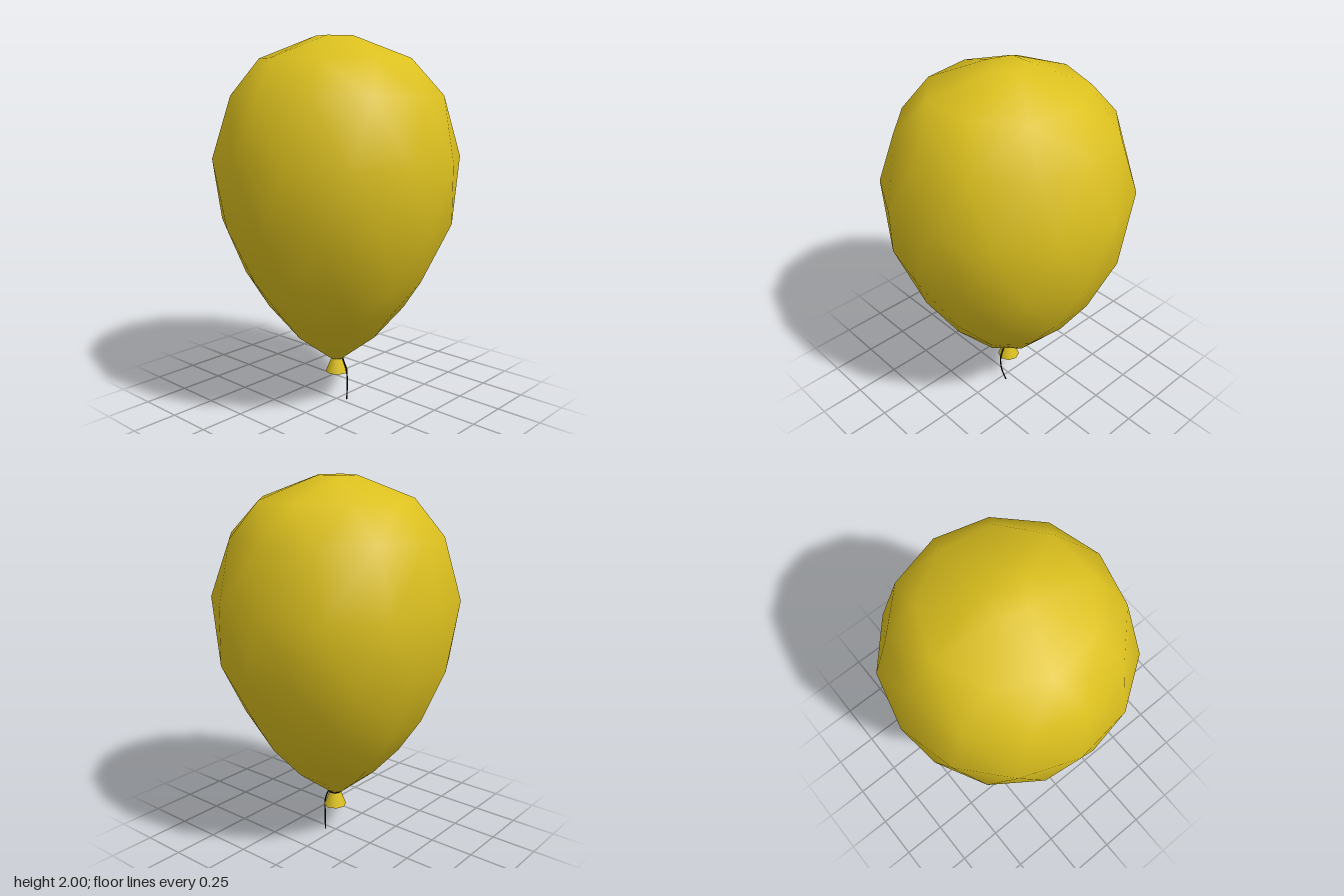
import * as THREE from 'three';
import { mergeVertices } from 'three/addons/utils/BufferGeometryUtils.js';
import { ConvexGeometry } from 'three/addons/geometries/ConvexGeometry.js';

const rubber = new THREE.MeshStandardMaterial({ color: 0xdcc01e });
const dark = new THREE.MeshStandardMaterial({ color: 0x0a0a0a });

// Low-poly pear-shaped skin: staggered rings of points, wrapped and smooth shaded
function bodyGeometry() {
  // [height, radius, number of points]
  const rings = [
    [0.25, 0.04, 6], [0.39, 0.22, 8], [0.56, 0.37, 11], [0.75, 0.495, 12],
    [1.04, 0.62, 13], [1.38, 0.655, 13], [1.7, 0.56, 12], [1.885, 0.405, 9], [2.0, 0.11, 5],
  ];
  const points = [];
  rings.forEach(([y, r, n], row) => {
    for (let i = 0; i < n; i++) {
      const a = ((i + (row % 2) / 2) / n) * Math.PI * 2;
      points.push(new THREE.Vector3(Math.sin(a) * r, y, Math.cos(a) * r));
    }
  });
  let geometry = new ConvexGeometry(points);
  geometry.deleteAttribute('normal');
  geometry = mergeVertices(geometry, 1e-4);
  geometry.computeVertexNormals();
  return geometry;
}

export function createModel() {
  const group = new THREE.Group();
  const add = (name, geometry, material, x = 0, y = 0, z = 0) => {
    const mesh = new THREE.Mesh(geometry, material);
    mesh.name = name;
    mesh.position.set(x, y, z);
    group.add(mesh);
    return mesh;
  };

  add('balloonBody', bodyGeometry(), rubber);

  // Flared mouth below the knot
  add('mouth', new THREE.CylinderGeometry(0.028, 0.063, 0.09, 8), rubber, 0.005, 0.21, 0);

  // String wound round the neck
  const tie = add('stringTie', new THREE.TorusGeometry(0.033, 0.008, 6, 16), dark, 0.005, 0.254, 0);
  tie.rotation.x = Math.PI / 2;

  // Hanging string
  const path = new THREE.CatmullRomCurve3([
    new THREE.Vector3(0.01, 0.255, 0.036),
    new THREE.Vector3(0.01, 0.18, 0.068),
    new THREE.Vector3(0.015, 0.09, 0.068),
    new THREE.Vector3(0.033, 0.0, 0.05),
  ]);
  add('string', new THREE.TubeGeometry(path, 16, 0.004, 5), dark);

  return group;
}
